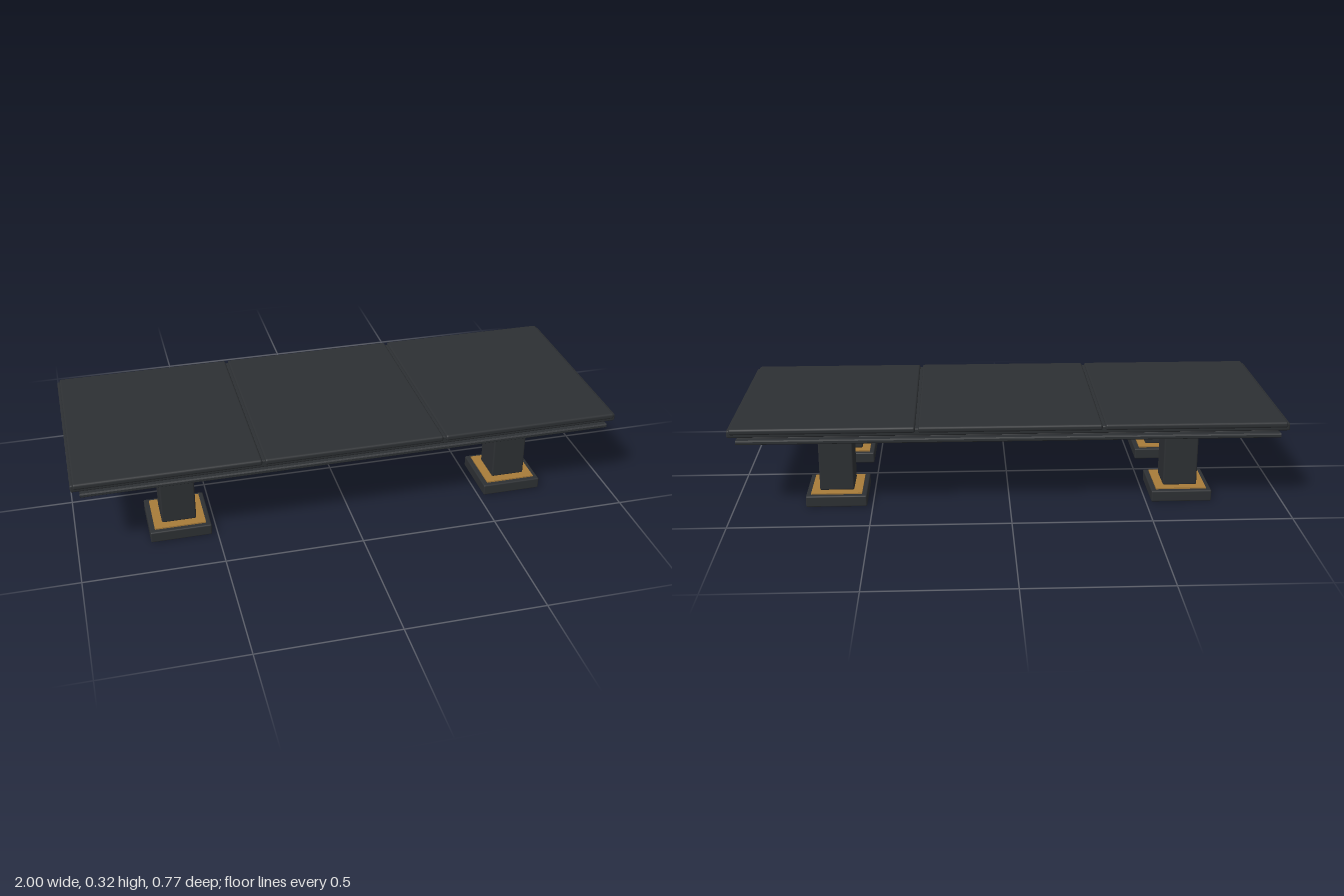
import * as THREE from 'three';
import { RoundedBoxGeometry } from 'three/addons/geometries/RoundedBoxGeometry.js';

export function createModel() {
  const table = new THREE.Group();
  table.name = 'lowTable';
  const dark = new THREE.MeshStandardMaterial({ color: 0x2d3033 });
  const gold = new THREE.MeshStandardMaterial({ color: 0xa87c3a });

  // Box given by its centre in x and z, its bottom and top, and its size; r rounds the edges
  function block(name, parent, material, [x, z], [y0, y1], [w, d], r = 0) {
    const h = y1 - y0;
    const geometry = r > 0 ? new RoundedBoxGeometry(w, h, d, 2, r) : new THREE.BoxGeometry(w, h, d);
    const mesh = new THREE.Mesh(geometry, material);
    mesh.name = name;
    mesh.position.set(x, (y0 + y1) / 2, z);
    parent.add(mesh);
    return mesh;
  }

  // Table top: three boards over a core, with gaps between them
  const top = new THREE.Group();
  top.name = 'tableTop';
  table.add(top);
  for (const i of [-1, 0, 1]) {
    block('topBoard', top, dark, [i * 0.664, 0], [0.301, 0.323], [0.654, 0.772], 0.008);
  }
  block('topCore', top, dark, [0, 0], [0.288, 0.316], [2, 0.754], 0.006);
  block('goldInlay', top, gold, [0, 0], [0.282, 0.289], [1.95, 0.71]);
  block('underSlab', top, dark, [0, 0], [0.265, 0.283], [1.94, 0.7], 0.006);

  // Chamfered rails along the front and back edges
  const section = new THREE.Shape();
  [[-0.015, -0.004], [-0.01, -0.008], [0.01, -0.008], [0.015, -0.004],
    [0.015, 0.004], [0.01, 0.008], [-0.01, 0.008], [-0.015, 0.004]]
    .forEach(([a, b], i) => (i ? section.lineTo(a, b) : section.moveTo(a, b)));
  const railGeometry = new THREE.ExtrudeGeometry(section, { depth: 1.94, bevelEnabled: false });
  railGeometry.translate(0, 0, -0.97).rotateY(Math.PI / 2);
  for (const s of [-1, 1]) {
    const rail = new THREE.Mesh(railGeometry, dark);
    rail.name = 'edgeRail';
    rail.position.set(0, 0.269, s * 0.362);
    top.add(rail);
  }

  // Trestles: a cross beam on two square columns
  for (const sx of [-1, 1]) {
    const trestle = new THREE.Group();
    trestle.name = sx > 0 ? 'leftTrestle' : 'rightTrestle';
    trestle.position.x = sx * 0.631;
    table.add(trestle);
    block('crossBeam', trestle, dark, [0, 0], [0.241, 0.266], [0.155, 0.566], 0.004);
    for (const sz of [-1, 1]) {
      const z = sz * 0.219;
      block('beamCap', trestle, gold, [0, sz * 0.275], [0.245, 0.258], [0.176, 0.026]);
      block('column', trestle, dark, [0, z], [0.046, 0.25], [0.125, 0.125], 0.006);
      block('footPlate', trestle, gold, [0, z], [0.04, 0.047], [0.185, 0.185]);
      block('foot', trestle, dark, [0, z], [0, 0.042], [0.221, 0.221], 0.005);
    }
  }
  return table;
}
